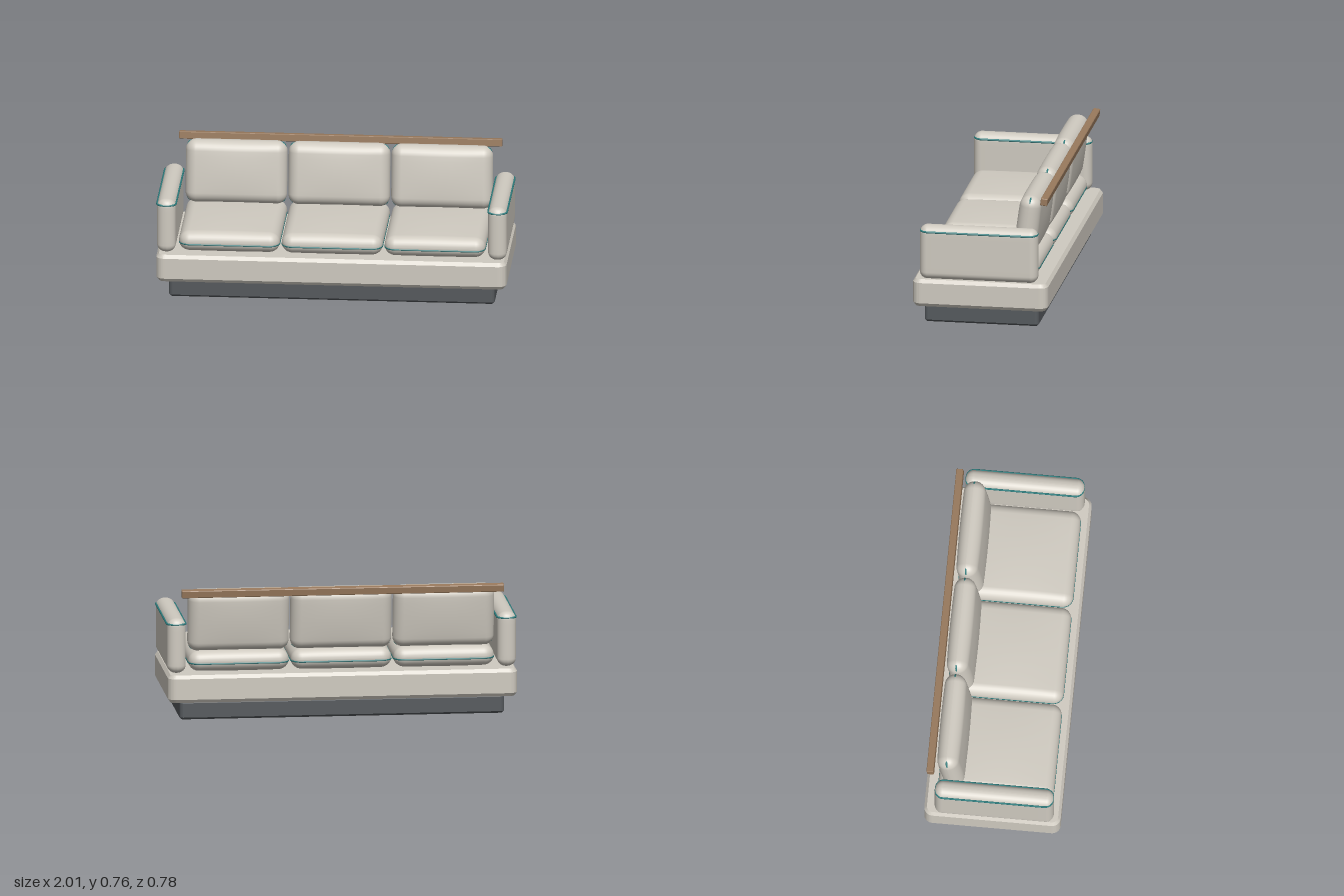
import * as THREE from 'three';
import { mergeVertices } from 'three/addons/utils/BufferGeometryUtils.js';

const mat = (color) => new THREE.MeshStandardMaterial({ color });
const fabric = mat(0xcfcac0), dark = mat(0x55595d), teal = mat(0x2f7f80), wood = mat(0x98795c);

function add(parent, name, geometry, material, x = 0, y = 0, z = 0) {
  const mesh = new THREE.Mesh(geometry, material);
  mesh.name = name;
  mesh.position.set(x, y, z);
  parent.add(mesh);
  return mesh;
}

// Rounded rectangle centred on the origin
function roundedRect(w, h, r) {
  const x = w / 2, y = h / 2, s = new THREE.Shape();
  s.moveTo(-x + r, -y);
  s.lineTo(x - r, -y).absarc(x - r, -y + r, r, -Math.PI / 2, 0);
  s.lineTo(x, y - r).absarc(x - r, y - r, r, 0, Math.PI / 2);
  s.lineTo(-x + r, y).absarc(-x + r, y - r, r, Math.PI / 2, Math.PI);
  s.lineTo(-x, -y + r).absarc(-x + r, -y + r, r, Math.PI, Math.PI * 1.5);
  return s;
}

// Slab lying in the xz plane with chamfered rims, bottom at y = 0
function slab(w, h, d, r, inset, bevel) {
  const g = new THREE.ExtrudeGeometry(roundedRect(w - 2 * inset, d - 2 * inset, r), {
    depth: h - 2 * bevel, bevelThickness: bevel, bevelSize: inset, bevelSegments: 1, curveSegments: 4,
  });
  return g.rotateX(-Math.PI / 2).translate(0, bevel, 0);
}

// Soft block: elliptical edge radii per axis, with the faces along `axis` crowned
function pillow(size, radii, axis = 1, crown = 0) {
  const g = new THREE.BoxGeometry(2, 2, 2, 16, 16, 16);
  g.deleteAttribute('normal');
  g.deleteAttribute('uv');
  const p = g.attributes.position;
  for (let i = 0; i < p.count; i++) {
    const u = [p.getX(i), p.getY(i), p.getZ(i)];
    // Outer half of each grid line forms the edge rounding, inner half the flat
    const corner = u.map((v) => Math.sign(v) * Math.tan(Math.max(0, Math.abs(v) - 0.5) * Math.PI / 2));
    const len = Math.hypot(...corner);
    const v = u.map((t, k) => {
      const flat = THREE.MathUtils.clamp(t * 2, -1, 1) * (size[k] / 2 - radii[k]);
      return flat + radii[k] * corner[k] / len;
    });
    const [a, b] = [0, 1, 2].filter((k) => k !== axis);
    const fall = (k) => 1 - (2 * v[k] / size[k]) ** 2;
    v[axis] += crown * fall(a) * fall(b) * 2 * v[axis] / size[axis];
    p.setXYZ(i, ...v);
  }
  const merged = mergeVertices(g, 1e-5);
  merged.computeVertexNormals();
  return merged;
}

// Closed piping cord in the xy plane
function cord(w, h, r, thickness) {
  const pts = roundedRect(w, h, r).getSpacedPoints(96).slice(0, -1);
  const path = new THREE.CatmullRomCurve3(pts.map((q) => new THREE.Vector3(q.x, q.y, 0)), true);
  return new THREE.TubeGeometry(path, 120, thickness, 6, true);
}

export function createModel() {
  const sofa = new THREE.Group();
  sofa.name = 'sofa';

  // Base
  add(sofa, 'plinth', slab(1.86, 0.107, 0.66, 0.012, 0.012, 0.012), dark, 0, 0.003, 0);
  add(sofa, 'platform', slab(2, 0.16, 0.78, 0.035, 0.015, 0.02), fabric, 0, 0.11, 0);
  for (const x of [-0.85, 0.85]) for (const z of [-0.25, 0.25]) {
    add(sofa, 'foot', new THREE.CylinderGeometry(0.028, 0.028, 0.01, 16), wood, x, 0.005, z);
  }

  // Arms with piping around the top
  const armShape = pillow([0.107, 0.317, 0.682], [0.05, 0.045, 0.045]);
  const armCord = cord(0.107, 0.67, 0.045, 0.006).rotateX(Math.PI / 2);
  for (const side of [-1, 1]) {
    const arm = new THREE.Group();
    arm.name = side > 0 ? 'leftArm' : 'rightArm';
    arm.position.set(side * 0.945, 0, 0.01);
    add(arm, 'armBody', armShape, fabric, 0, 0.4275, 0);
    add(arm, 'armPiping', armCord, teal, 0, 0.553, 0);
    sofa.add(arm);
  }

  // Three seat cushions and three tilted back cushions
  const seatShape = pillow([0.575, 0.115, 0.66], [0.06, 0.055, 0.06], 1, 0.012);
  const seatCord = cord(0.568, 0.653, 0.057, 0.006).rotateX(Math.PI / 2);
  const backShape = pillow([0.58, 0.365, 0.12], [0.06, 0.06, 0.058], 2, 0.012);
  const backCord = cord(0.56, 0.345, 0.03, 0.006);
  for (const x of [-0.587, 0, 0.587]) {
    add(sofa, 'seatCushion', seatShape, fabric, x, 0.332, 0.01);
    add(sofa, 'seatPiping', seatCord, teal, x, 0.322, 0.01);
    const back = new THREE.Group();
    back.name = 'backCushion';
    back.position.set(x, 0.567, -0.25);
    back.rotation.x = -0.13;
    add(back, 'backBody', backShape, fabric);
    add(back, 'backPiping', backCord, teal);
    sofa.add(back);
  }

  // Wooden rail behind the cushions
  const rail = add(sofa, 'backRail', slab(1.845, 0.042, 0.04, 0.003, 0.003, 0.003).translate(0, -0.021, 0),
    wood, 0, 0.74, -0.359);
  rail.rotation.x = -0.13;
  return sofa;
}
